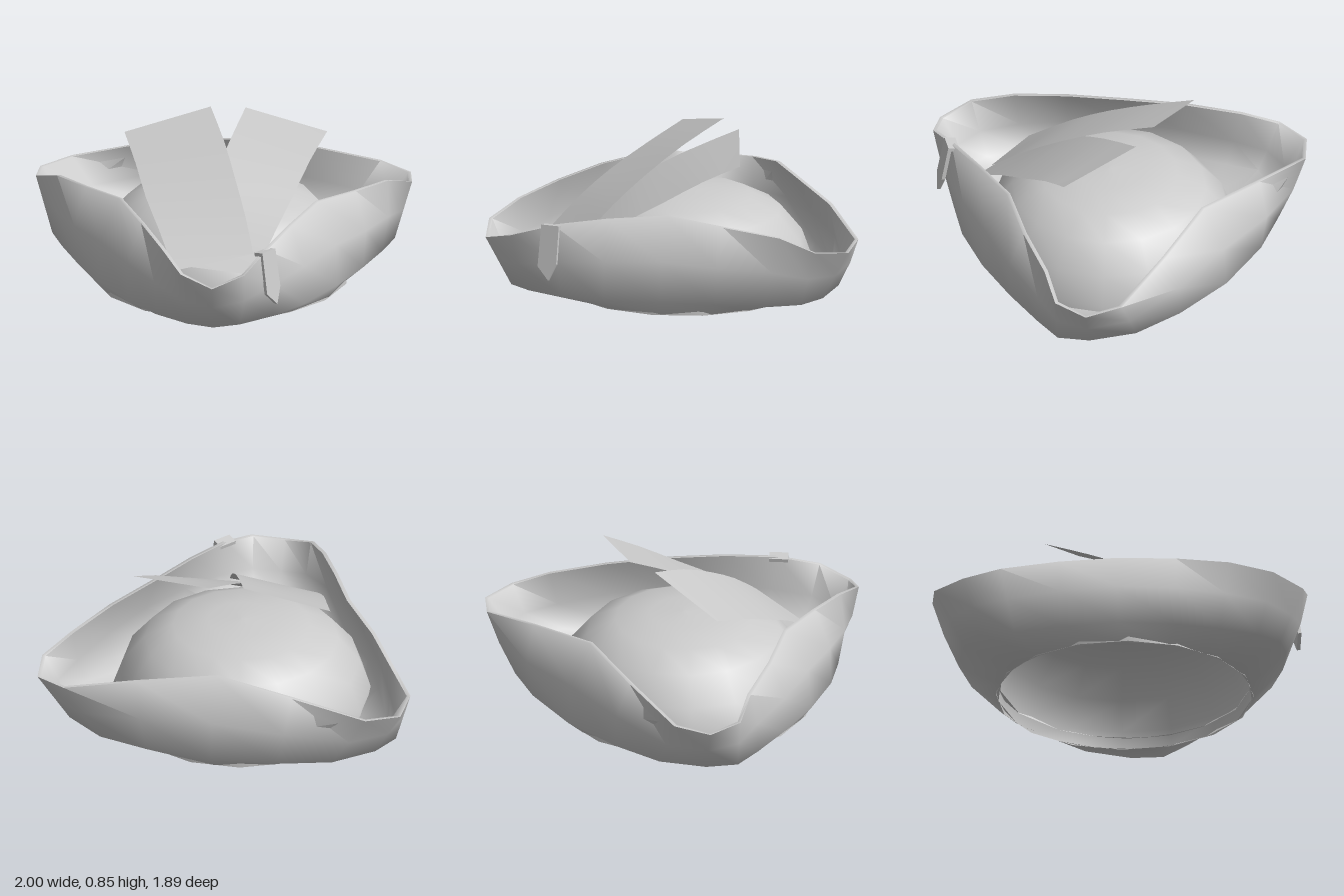
import * as THREE from 'three';
import { toCreasedNormals } from 'three/addons/utils/BufferGeometryUtils.js';

const CENTRE_Z = -0.175;
const CROWN_R = 0.685;

// Surface through equal-length rows of Vector3; optionally closed around.
function loft(rows, closed) {
  const n = rows[0].length, index = [];
  const pos = rows.flat().flatMap((p) => [p.x, p.y, p.z]);
  for (let j = 0; j < rows.length - 1; j++) {
    for (let i = 0; i < (closed ? n : n - 1); i++) {
      const a = j * n + i, b = j * n + ((i + 1) % n);
      index.push(a, b, a + n, b, b + n, a + n);
    }
  }
  const g = new THREE.BufferGeometry();
  g.setAttribute('position', new THREE.Float32BufferAttribute(pos, 3));
  g.setIndex(index);
  g.computeVertexNormals();
  return g;
}

const vecs = (list) => list.map((p) => new THREE.Vector3(...p));

// Complete a half loop (front centre to back centre) with its mirror image.
function mirrorLoop(list) {
  const half = vecs(list);
  const other = half.slice(1, -1).reverse().map((p) => new THREE.Vector3(-p.x, p.y, p.z));
  return [...half, ...other];
}

// Move a closed loop sideways along its horizontal normals.
function offsetLoop(loop, distance, up = 0) {
  const n = loop.length;
  return loop.map((p, i) => {
    const t = loop[(i + 1) % n].clone().sub(loop[(i + n - 1) % n]);
    const normal = new THREE.Vector3(-t.z, 0, t.x).normalize();
    const q = p.clone().addScaledVector(normal, distance(i));
    q.y += up;
    return q;
  });
}

function brimGeometry() {
  const rim = mirrorLoop([
    [0, 0.345, 0.945], [0.17, 0.395, 0.865], [0.28, 0.46, 0.66], [0.4, 0.5, 0.4],
    [0.53, 0.525, 0.11], [0.72, 0.49, -0.14], [0.88, 0.45, -0.4], [1, 0.385, -0.56],
    [0.985, 0.365, -0.75], [0.82, 0.385, -0.865], [0.42, 0.47, -0.86], [0, 0.52, -0.805],
  ]);
  const low = mirrorLoop([
    [0, 0.07, 0.8], [0.14, 0.07, 0.75], [0.31, 0.07, 0.62], [0.47, 0.075, 0.45],
    [0.64, 0.085, 0.19], [0.76, 0.08, -0.08], [0.85, 0.075, -0.33], [0.91, 0.08, -0.51],
    [0.83, 0.08, -0.66], [0.63, 0.08, -0.82], [0.36, 0.09, -0.91], [0, 0.09, -0.95],
  ]);
  // Bulge of the wall from front centre to back centre
  const bulge = [0, 0.02, 0.03, 0.04, 0.05, 0.04, 0.02, 0, 0, 0.01, 0.04, 0.055];
  const halfway = rim.map((p, i) => low[i].clone().lerp(p, 0.5));
  const mid = offsetLoop(halfway, (i) => bulge[Math.min(i, rim.length - i)]);
  const ring = (r, y) => low.map((p) => {
    const d = new THREE.Vector3(p.x, 0, p.z - CENTRE_Z).normalize();
    return new THREE.Vector3(d.x * r, y, CENTRE_Z + d.z * r);
  });
  return toCreasedNormals(loft([
    ring(CROWN_R - 0.01, 0),
    low,
    mid,
    rim,
    offsetLoop(rim, () => -0.02),
    offsetLoop(mid, () => -0.04),
    offsetLoop(low, () => -0.035, 0.04),
    ring(CROWN_R - 0.02, 0.06),
  ], true), 1.3);
}

export function createModel() {
  const model = new THREE.Group();
  const felt = new THREE.MeshStandardMaterial({ color: 0xcccccc, side: THREE.DoubleSide });
  felt.name = 'plain grey';
  const add = (name, geometry, parent = model) => {
    const mesh = new THREE.Mesh(geometry, felt);
    mesh.name = name;
    parent.add(mesh);
    return mesh;
  };

  // Three-cornered, upturned brim
  add('brim', brimGeometry());

  // Hollow domed crown
  const profile = [
    [CROWN_R, 0], [CROWN_R, 0.1], [0.63, 0.255], [0.515, 0.395], [0.365, 0.473], [0.18, 0.505], [0, 0.512],
  ].map((p) => new THREE.Vector2(...p));
  add('crown', new THREE.LatheGeometry(profile, 16, Math.PI / 16)).position.z = CENTRE_Z;

  // Two curved flat feathers, each spanned between its left and right edge
  const feather = (name, left, right) => {
    const a = new THREE.CatmullRomCurve3(vecs(left)).getPoints(8);
    const b = new THREE.CatmullRomCurve3(vecs(right)).getPoints(8);
    add(name, loft(a.map((p, i) => [p, b[i]]), false));
  };
  feather('rightFeather',
    [[-0.22, 0.28, 0.52], [-0.31, 0.43, 0.3], [-0.385, 0.53, 0.11], [-0.45, 0.635, -0.12], [-0.52, 0.725, -0.35]],
    [[0.2, 0.36, 0.46], [0.15, 0.5, 0.28], [0.09, 0.625, 0.08], [0.02, 0.75, -0.16], [-0.065, 0.85, -0.42]]);
  feather('leftFeather',
    [[-0.19, 0.29, 0.47], [-0.1, 0.44, 0.28], [-0.04, 0.58, 0.09], [0.03, 0.715, -0.16], [0.12, 0.84, -0.44]],
    [[0.21, 0.27, 0.54], [0.31, 0.43, 0.31], [0.4, 0.56, 0.09], [0.48, 0.68, -0.11], [0.56, 0.77, -0.29]]);

  // Pointed clasp hooked over the front left rim
  const clasp = new THREE.Group();
  clasp.name = 'clasp';
  const outline = new THREE.Shape(
    [[-0.05, 0.13], [-0.055, -0.08], [0.01, -0.15], [0.05, -0.06], [0.05, 0.13]].map((p) => new THREE.Vector2(...p)));
  add('claspPlate', new THREE.ExtrudeGeometry(outline, { depth: 0.02, bevelEnabled: false }), clasp);
  add('claspHook', new THREE.BoxGeometry(0.1, 0.02, 0.06), clasp).position.set(0, 0.135, -0.01);
  clasp.position.set(0.297, 0.32, 0.69);
  clasp.rotation.set(-0.18, 0.85, 0, 'YXZ');
  model.add(clasp);

  return model;
}
